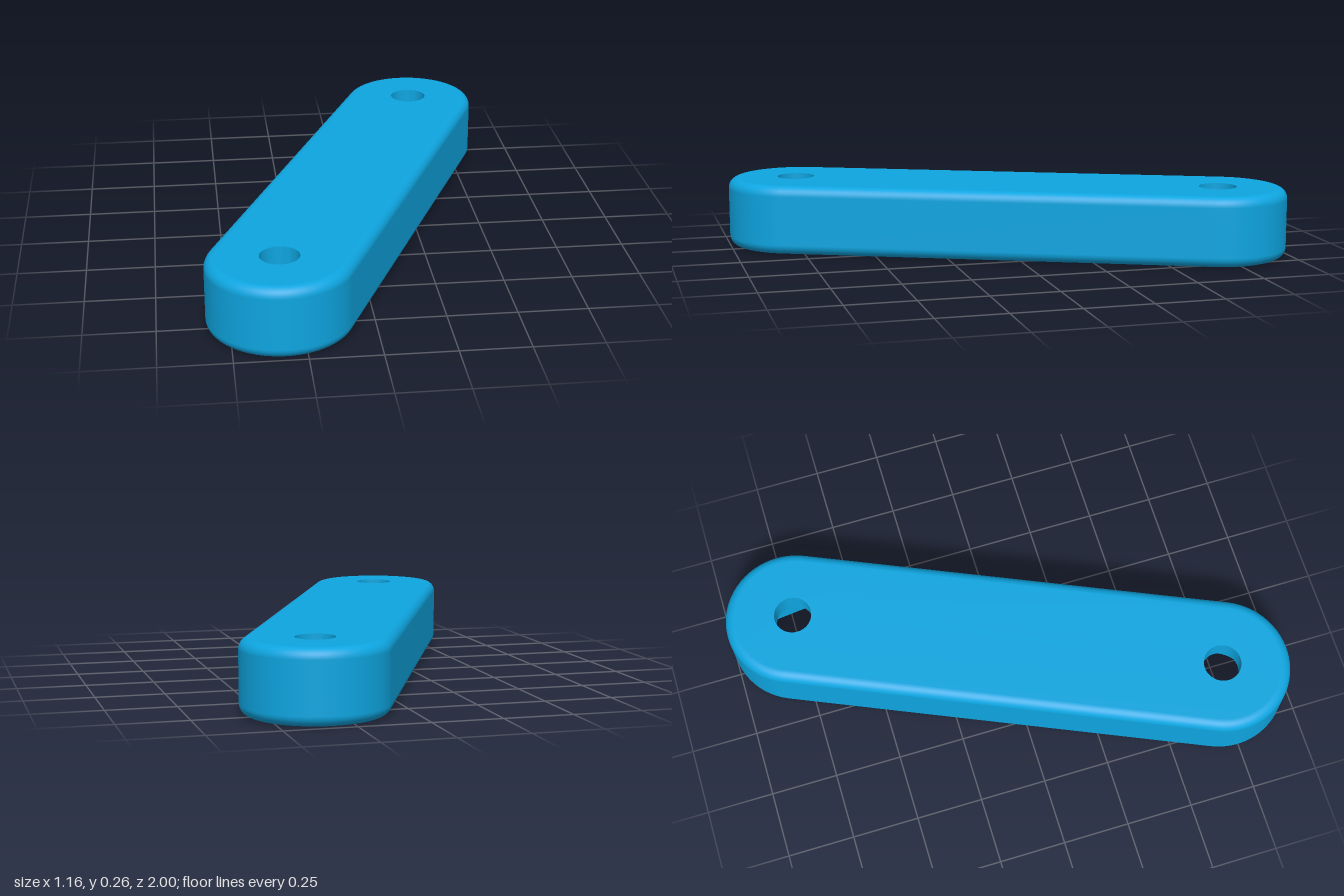
import * as THREE from 'three';
import { toCreasedNormals } from 'three/addons/utils/BufferGeometryUtils.js';

const HALF = 0.811;      // half the distance between the end holes
const RADIUS = 0.257;    // radius of the rounded ends
const HEIGHT = 0.26;
const FILLET = 0.038;
const BORE = 0.07;       // through hole radius
const ROUND = 48;

// Pockets in the underside; those with a bore continue to the top
const POCKETS = [
  { name: 'nutPocket', x: HALF, r: 0.131, depth: 0.172, sides: 6, bore: true },
  { name: 'screwHeadPocket', x: -HALF, r: 0.133, depth: 0.172, sides: ROUND, bore: true },
  { name: 'backDiscPocket', x: 0.42, r: 0.163, depth: 0.045, sides: ROUND },
  { name: 'frontDiscPocket', x: -0.42, r: 0.163, depth: 0.045, sides: ROUND },
];

const material = new THREE.MeshStandardMaterial({ color: 0x0ea5e0 });

// Outline of a slot: two half circles joined by straight sides
function slotOutline(r, steps = 32) {
  const points = [];
  for (const end of [1, -1]) {
    for (let i = 0; i <= steps; i++) {
      const a = (i / steps - 0.5) * Math.PI + (end < 0 ? Math.PI : 0);
      points.push(new THREE.Vector2(end * HALF + r * Math.cos(a), r * Math.sin(a)));
    }
  }
  return points;
}

// Regular polygon with its first corner pointing across the arm
function polygon(x, r, sides) {
  return Array.from({ length: sides }, (_, i) => {
    const a = Math.PI / 2 + (i / sides) * Math.PI * 2;
    return new THREE.Vector2(x + r * Math.cos(a), r * Math.sin(a));
  });
}

// Flat horizontal face with holes, facing up (1) or down (-1)
function flatFace(outline, holes, y, facing) {
  const shape = new THREE.Shape(outline);
  shape.holes = holes.map((points) => new THREE.Path(points));
  return new THREE.ShapeGeometry(shape).rotateX(-facing * Math.PI / 2).translate(0, y, 0);
}

// Inward-facing wall of a hole
function holeWall(x, r, y0, y1, sides) {
  const geometry = new THREE.CylinderGeometry(r, r, y1 - y0, sides, 1, true);
  geometry.index.array.reverse();
  geometry.translate(x, (y0 + y1) / 2, 0);
  return toCreasedNormals(geometry, 0.5);
}

// Outer side wall: slot outlines stacked along a profile with rounded edges
function sideWall() {
  const profile = [];
  const steps = 8;
  for (const side of [-1, 1]) {
    for (let i = 0; i <= steps; i++) {
      const a = (side < 0 ? i / steps - 1 : i / steps) * Math.PI / 2;
      const centre = side < 0 ? FILLET : HEIGHT - FILLET;
      profile.push({ a, y: centre + FILLET * Math.sin(a), r: RADIUS - FILLET * (1 - Math.cos(a)) });
    }
  }
  const position = [], normal = [], index = [];
  const count = slotOutline(RADIUS).length;
  profile.forEach(({ a, y, r }, row) => {
    slotOutline(r).forEach((p, i) => {
      const cx = i < count / 2 ? HALF : -HALF;
      position.push(p.x, y, -p.y);
      normal.push((p.x - cx) / r * Math.cos(a), Math.sin(a), -p.y / r * Math.cos(a));
      if (row === profile.length - 1) return;
      const j = (i + 1) % count;
      const b = row * count, t = b + count;
      index.push(b + i, b + j, t + j, b + i, t + j, t + i);
    });
  });
  const geometry = new THREE.BufferGeometry();
  geometry.setAttribute('position', new THREE.Float32BufferAttribute(position, 3));
  geometry.setAttribute('normal', new THREE.Float32BufferAttribute(normal, 3));
  geometry.setIndex(index);
  return geometry;
}

export function createModel() {
  const model = new THREE.Group();
  model.name = 'linkArm';
  const add = (name, geometry, parent = model) => {
    const mesh = new THREE.Mesh(geometry, material);
    mesh.name = name;
    parent.add(mesh);
  };

  // Body
  const capOutline = slotOutline(RADIUS - FILLET);
  const bores = POCKETS.filter((p) => p.bore).map((p) => polygon(p.x, BORE, ROUND));
  const openings = POCKETS.map((p) => polygon(p.x, p.r, p.sides));
  add('sideWall', sideWall());
  add('topFace', flatFace(capOutline, bores, HEIGHT, 1));
  add('bottomFace', flatFace(capOutline, openings, 0, -1));

  // Pockets and through holes
  for (const { name, x, r, depth, sides, bore } of POCKETS) {
    const pocket = new THREE.Group();
    pocket.name = name;
    add('pocketWall', holeWall(x, r, 0, depth, sides), pocket);
    const hole = bore ? [polygon(x, BORE, ROUND)] : [];
    add('pocketFloor', flatFace(polygon(x, r, sides), hole, depth, -1), pocket);
    if (bore) add('throughHole', holeWall(x, BORE, depth, HEIGHT, ROUND), pocket);
    model.add(pocket);
  }

  // The arm lies diagonally on the ground
  model.rotation.y = Math.atan2(0.743, 0.325);
  return model;
}
